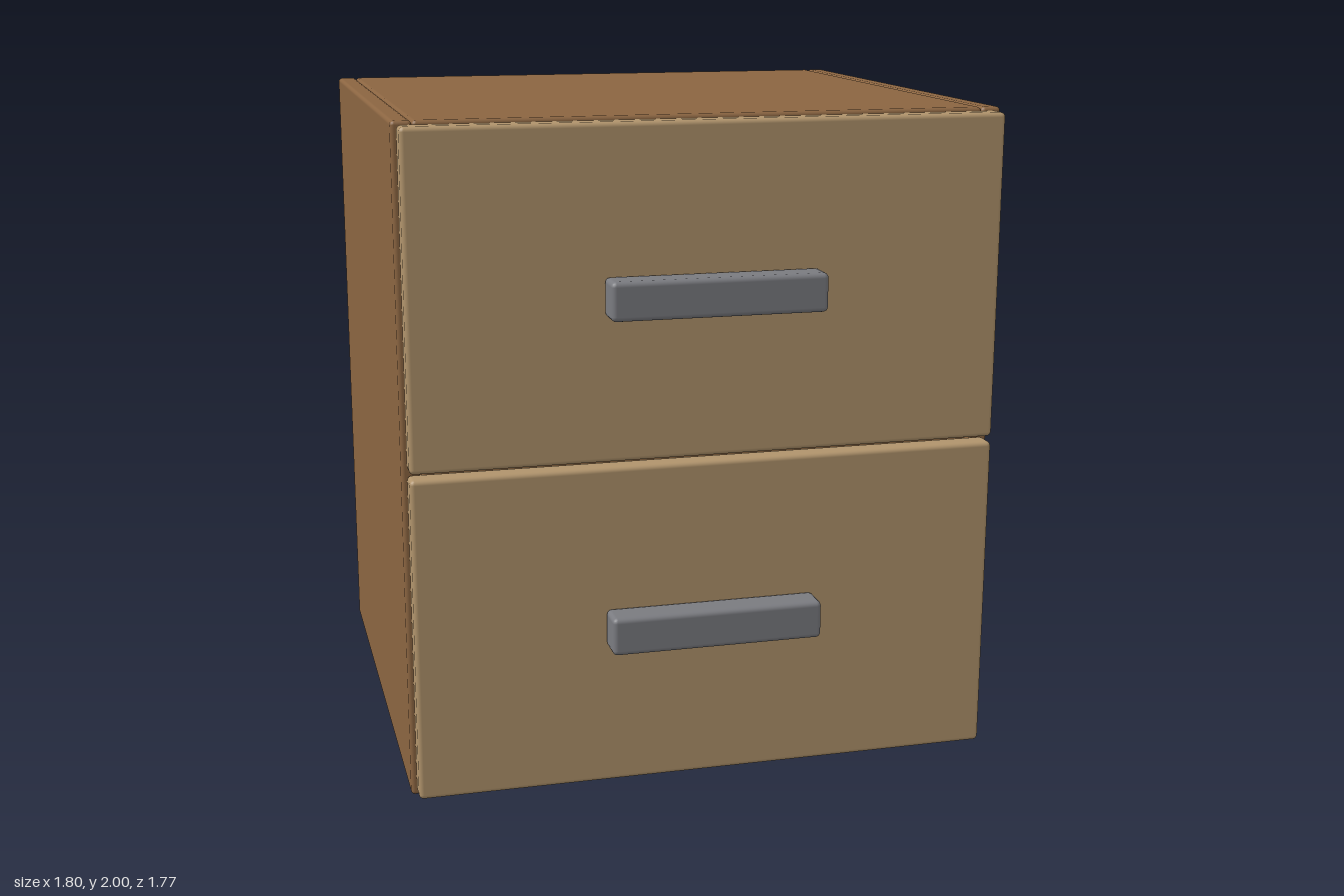
import * as THREE from 'three';
import { RoundedBoxGeometry } from 'three/addons/geometries/RoundedBoxGeometry.js';

const paint = (name, color) => {
  const m = new THREE.MeshStandardMaterial({ color });
  m.name = name;
  return m;
};

// Softly edged box spanning the given ranges
function panel(name, material, [x0, x1], [y0, y1], [z0, z1], radius = 0.012) {
  const geometry = new RoundedBoxGeometry(x1 - x0, y1 - y0, z1 - z0, 2, radius);
  const mesh = new THREE.Mesh(geometry, material);
  mesh.name = name;
  mesh.position.set((x0 + x1) / 2, (y0 + y1) / 2, (z0 + z1) / 2);
  return mesh;
}

export function createModel() {
  const wood = paint('brown wood', 0x8b6541);
  const lightWood = paint('light wood', 0xb1946c);
  const metal = paint('grey metal', 0x7a7b80);

  const back = -0.885, front = 0.716, inner = 0.84;
  const model = new THREE.Group();
  model.name = 'drawerCabinet';

  // Carcass: sides, top, bottom, divider and back
  const carcass = new THREE.Group();
  carcass.name = 'carcass';
  carcass.add(
    panel('leftSide', wood, [inner, 0.9], [0, 2], [back, front]),
    panel('rightSide', wood, [-0.9, -inner], [0, 2], [back, front]),
    panel('topPanel', wood, [-inner, inner], [1.94, 2], [back, front]),
    panel('bottomPanel', wood, [-inner, inner], [0, 0.06], [back, front]),
    panel('divider', wood, [-inner, inner], [0.97, 1.03], [-0.8, front - 0.02]),
    panel('backPanel', wood, [-inner, inner], [0.06, 1.94], [back, back + 0.06]),
  );
  model.add(carcass);

  // Drawers: a front board with a bar handle each
  const drawers = [
    ['lowerDrawer', 0.017, 0.995, 0.507],
    ['upperDrawer', 1.012, 1.99, 1.499],
  ];
  for (const [name, y0, y1, handleY] of drawers) {
    const drawer = new THREE.Group();
    drawer.name = name;
    drawer.add(
      panel('drawerFront', lightWood, [-0.885, 0.885], [y0, y1], [front, 0.79], 0.014),
      panel('handle', metal, [-0.319, 0.319], [handleY - 0.057, handleY + 0.057], [0.785, 0.885], 0.015),
    );
    model.add(drawer);
  }
  return model;
}
